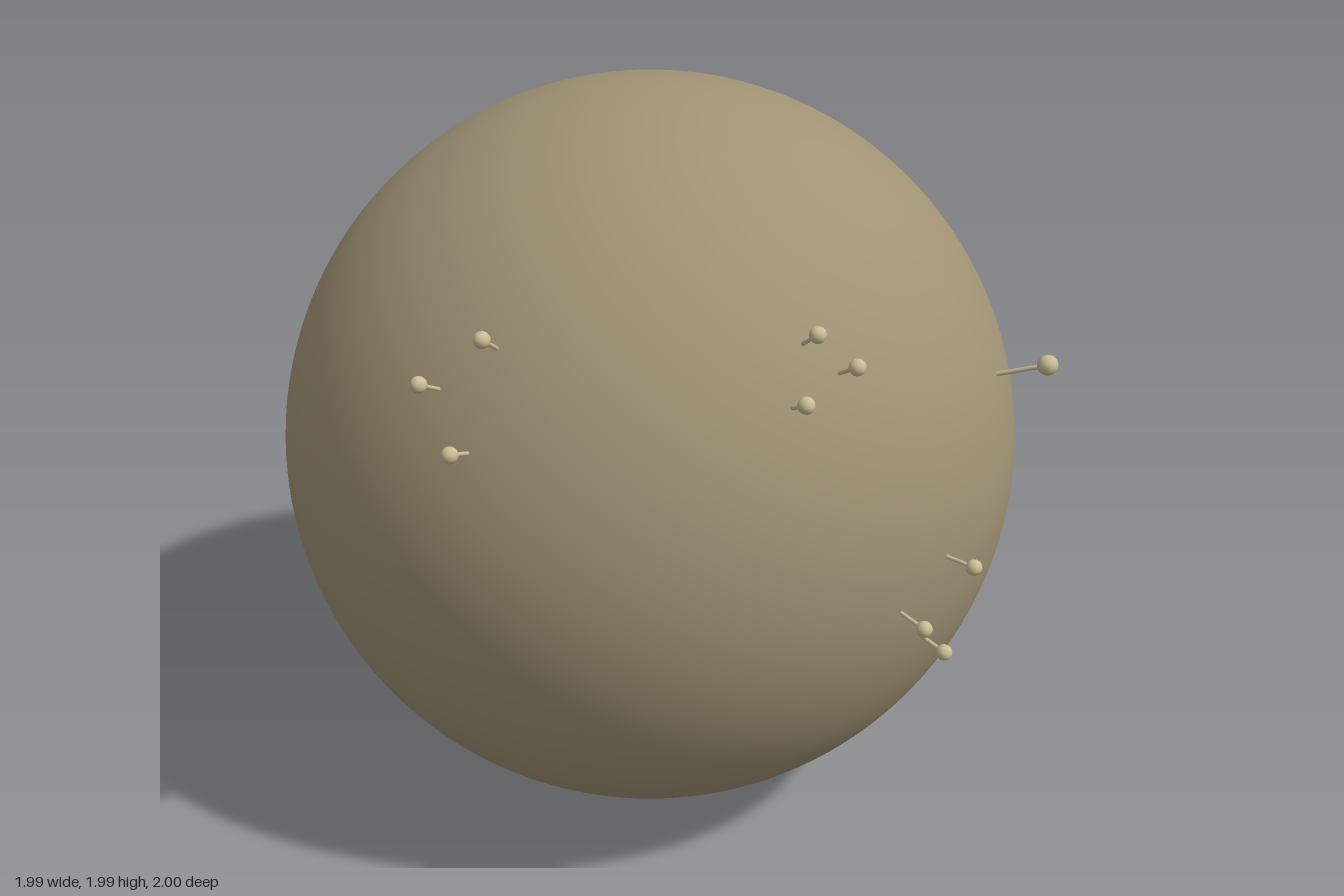
import * as THREE from 'three';

export function createModel() {
  const model = new THREE.Group();
  const earth = new THREE.MeshStandardMaterial({ color: 0xa09274 });
  earth.name = 'dull khaki';
  const pale = new THREE.MeshStandardMaterial({ color: 0xc8bc94 });
  pale.name = 'pale sand';

  // Large globe
  const R = 0.994;
  const centre = new THREE.Vector3(0, R, -0.006);
  const globe = new THREE.Mesh(new THREE.SphereGeometry(R, 128, 80), earth);
  globe.name = 'globe';
  globe.position.copy(centre);
  model.add(globe);

  // A pin standing on the globe, pointing away from its centre
  const up = new THREE.Vector3(0, 1, 0);
  function addPin(name, head, height, headRadius, stemRadius) {
    const pin = new THREE.Group();
    pin.name = name;
    const direction = new THREE.Vector3(...head).sub(centre).normalize();
    pin.position.copy(centre).addScaledVector(direction, R);
    pin.quaternion.setFromUnitVectors(up, direction);

    const sunk = 0.01;
    const stem = new THREE.Mesh(
      new THREE.CylinderGeometry(stemRadius, stemRadius, height + sunk, 12), pale);
    stem.name = 'pinStem';
    stem.position.y = (height - sunk) / 2;
    const ball = new THREE.Mesh(new THREE.SphereGeometry(headRadius, 24, 16), pale);
    ball.name = 'pinHead';
    ball.position.y = height;
    pin.add(stem, ball);
    model.add(pin);
  }

  // Three clusters of small pins, given by their head positions
  const clusters = {
    rightPin: [[-0.57, 1.59, 0.68], [-0.71, 1.48, 0.635], [-0.665, 1.355, 0.755]],
    upperPin: [[0.147, 1.6, 0.868], [0.233, 1.525, 0.897], [0.095, 1.47, 0.95]],
    lowerPin: [[0.553, 0.98, 0.91], [0.403, 0.872, 0.977], [0.49, 0.757, 0.912]],
  };
  for (const [name, heads] of Object.entries(clusters)) {
    heads.forEach((head, i) => addPin(name + (i + 1), head, 0.077, 0.02, 0.005));
  }

  // One taller pin on the left
  addPin('tallPin', [0.852, 1.36, 0.63], 0.13, 0.026, 0.006);

  return model;
}
